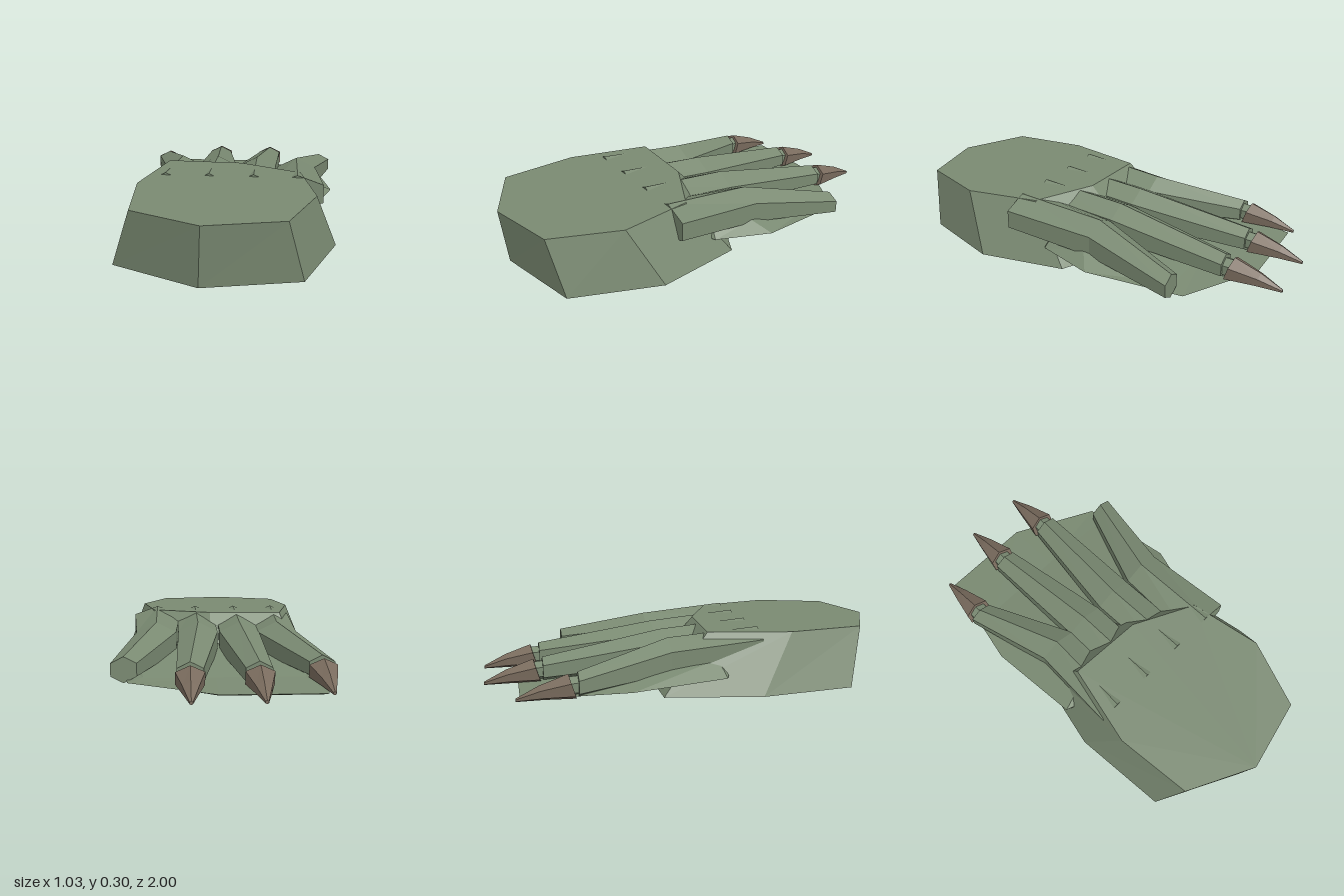
import * as THREE from 'three';

const skin = new THREE.MeshStandardMaterial({ color: 0x7a8a72, flatShading: true });
skin.name = 'mossy green skin';
const horn = new THREE.MeshStandardMaterial({ color: 0x7a6c5e, flatShading: true });
horn.name = 'brown horn';

// Closed solid through rings of equal point count, each counterclockwise seen from the first ring's side
function loft(name, rings, material) {
  const pos = [];
  const tri = (...pts) => pts.forEach((p) => pos.push(...p));
  const n = rings[0].length;
  for (let i = 0; i < rings.length - 1; i++) {
    for (let j = 0; j < n; j++) {
      const k = (j + 1) % n;
      const a = rings[i][j], b = rings[i][k], c = rings[i + 1][k], d = rings[i + 1][j];
      tri(a, d, b);
      tri(b, d, c);
    }
  }
  const first = rings[0], last = rings[rings.length - 1];
  for (let j = 1; j < n - 1; j++) {
    tri(first[0], first[j], first[j + 1]);
    tri(last[0], last[j + 1], last[j]);
  }
  const geo = new THREE.BufferGeometry();
  geo.setAttribute('position', new THREE.Float32BufferAttribute(pos, 3));
  geo.computeVertexNormals();
  const mesh = new THREE.Mesh(geo, material);
  mesh.name = name;
  return mesh;
}

// Six-sided section with a point at the top; tilt leans the top towards -z
function hex(x, y, z, rx, ry, tilt = 0) {
  return Array.from({ length: 6 }, (_, i) => {
    const a = Math.PI / 2 + (i * Math.PI) / 3;
    return [x + rx * Math.cos(a), y + ry * Math.sin(a), z - tilt * Math.sin(a)];
  });
}

const level = (outline, height) => outline.map(([x, z]) => [x, height(z), z]);

export function createModel() {
  const foot = new THREE.Group();
  foot.name = 'clawedFoot';

  // Heavy tapered pad
  const padTop = [[-0.06, 1], [0.29, 0.92], [0.41, 0.59], [0.34, 0.23],
    [0.04, 0.08], [-0.33, 0.06], [-0.42, 0.46], [-0.38, 0.84]];
  const padBottom = [[-0.075, 0.965], [0.36, 0.87], [0.51, 0.45], [0.43, 0.02],
    [0.04, -0.175], [-0.42, -0.175], [-0.52, 0.29], [-0.48, 0.76]];
  foot.add(loft('pad', [level(padTop, () => 0.285), level(padBottom, () => 0)], skin));

  // Web between the toes: sloping top, outer rim, underside
  const webTop = [[0.36, 0.1], [0.42, -0.1], [0.37, -0.55], [0.04, -0.56],
    [-0.37, -0.56], [-0.42, -0.3], [-0.38, 0.1], [0, 0.3]];
  const webRim = [[0.43, 0.12], [0.51, -0.16], [0.435, -0.63], [0.04, -0.84],
    [-0.42, -0.84], [-0.52, -0.34], [-0.48, 0.12], [0, 0.32]];
  const webUnder = [[0.38, 0.1], [0.43, -0.17], [0.37, -0.6], [0.04, -0.82],
    [-0.4, -0.82], [-0.45, -0.34], [-0.4, 0.1], [0, 0.3]];
  foot.add(loft('web', [
    level(webTop, (z) => 0.145 + 0.15 * z),
    level(webRim, (z) => 0.085 + 0.05 * z),
    level(webUnder, (z) => 0.07 + 0.042 * z),
  ], skin));

  // Toes: base, knuckle and end positions; the left outer toe has no claw
  const toes = [
    { name: 'rightOuterToe', base: -0.31, knuckle: -0.29, end: -0.44, z: -0.58, rx: 0.115, claw: true },
    { name: 'rightInnerToe', base: -0.1, knuckle: -0.1, end: -0.14, z: -0.72, rx: 0.115, claw: true },
    { name: 'leftInnerToe', base: 0.115, knuckle: 0.11, end: 0.16, z: -0.72, rx: 0.115, claw: true },
    { name: 'leftOuterToe', base: 0.325, knuckle: 0.32, end: 0.455, z: -0.58, rx: 0.145, claw: false },
  ];
  for (const t of toes) {
    const toe = new THREE.Group();
    toe.name = t.name;
    toe.add(loft('toe', [
      hex(t.base, 0.206, 0.32, t.rx, 0.09),
      hex(t.knuckle, 0.16, -0.13, 0.115, 0.1),
      hex(t.end, 0.103, t.z, 0.068, 0.06),
    ], skin));
    if (t.claw) {
      const x = t.end, z = t.z - 0.035;
      toe.add(loft('neck', [
        hex(x, 0.1, t.z + 0.02, 0.05, 0.045),
        hex(x, 0.095, z - 0.02, 0.05, 0.045),
      ], skin));
      toe.add(loft('claw', [
        hex(x, 0.095, z + 0.01, 0.074, 0.06, 0.018),
        hex(x, 0.075, z - 0.13, 0.04, 0.035, 0.008),
        hex(x, 0.048, z - 0.245, 0.008, 0.008),
      ], horn));
    }
    foot.add(toe);
  }
  return foot;
}
